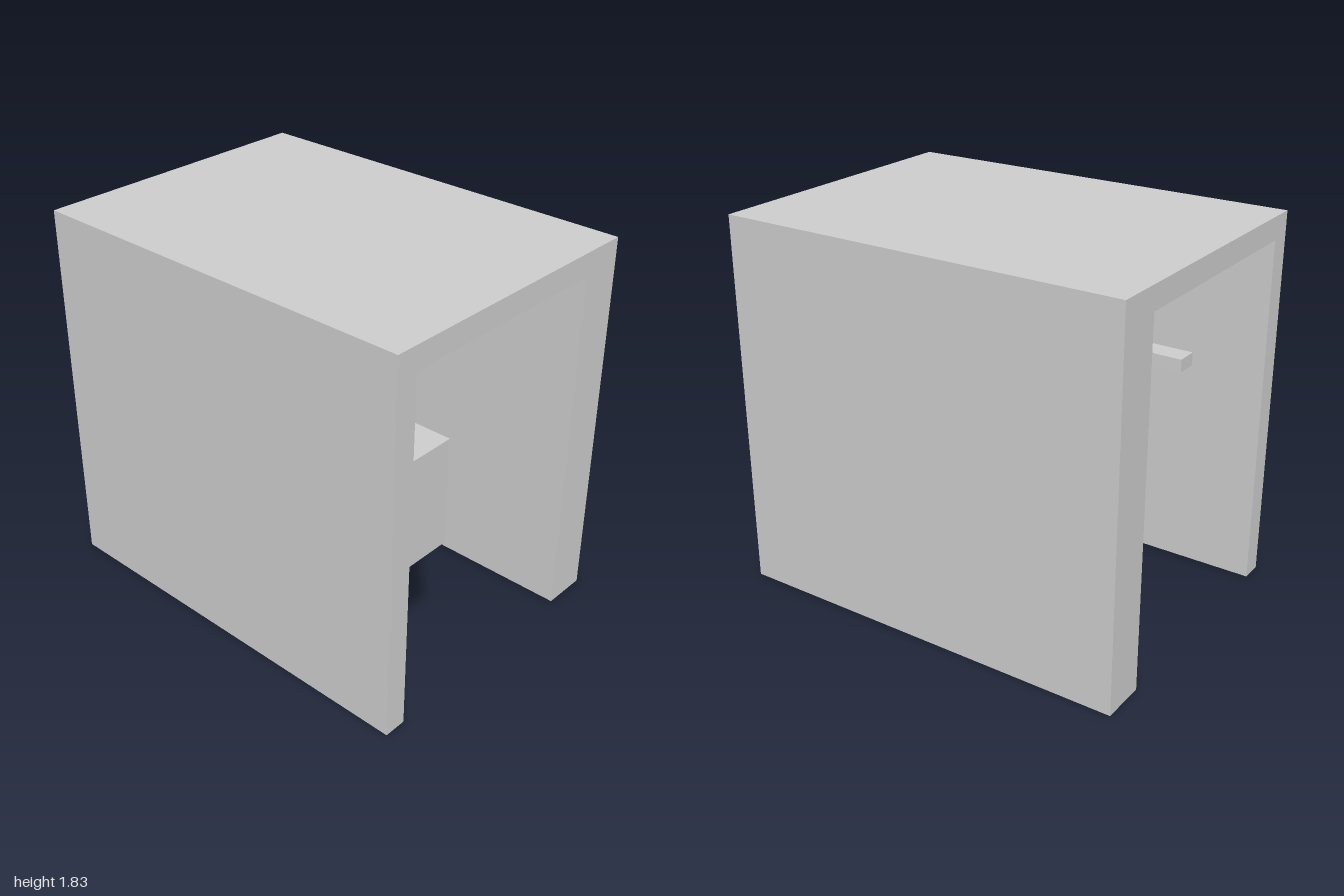
import * as THREE from 'three';

export function createModel() {
  const group = new THREE.Group();
  const material = new THREE.MeshStandardMaterial({ color: 0xcccccc });

  const add = (name, geometry) => {
    const mesh = new THREE.Mesh(geometry, material);
    mesh.name = name;
    group.add(mesh);
  };

  // Channel: roof with a thin right wall and a thick left wall
  const profile = new THREE.Shape([
    [-0.722, 0], [-0.611, 0], [-0.611, 1.722], [0.5, 1.722],
    [0.5, 0], [0.722, 0], [0.722, 1.833], [-0.722, 1.833],
  ].map(([x, y]) => new THREE.Vector2(x, y)));
  const channel = new THREE.ExtrudeGeometry(profile, { depth: 2, bevelEnabled: false });
  channel.translate(0, 0, -1);
  add('channel', channel);

  // Box between two opposite corners
  const addBox = (name, [x0, y0, z0], [x1, y1, z1]) => {
    const box = new THREE.BoxGeometry(x1 - x0, y1 - y0, z1 - z0);
    box.translate((x0 + x1) / 2, (y0 + y1) / 2, (z0 + z1) / 2);
    add(name, box);
  };

  // Block on the thin wall, flush with the front
  addBox('wallBlock', [-0.611, 0.833, 0.156], [-0.389, 1.333, 1]);

  // Slim bar running back from the block, flush with its inner face
  addBox('bar', [-0.5, 1.094, -0.688], [-0.389, 1.158, 0.156]);

  return group;
}
